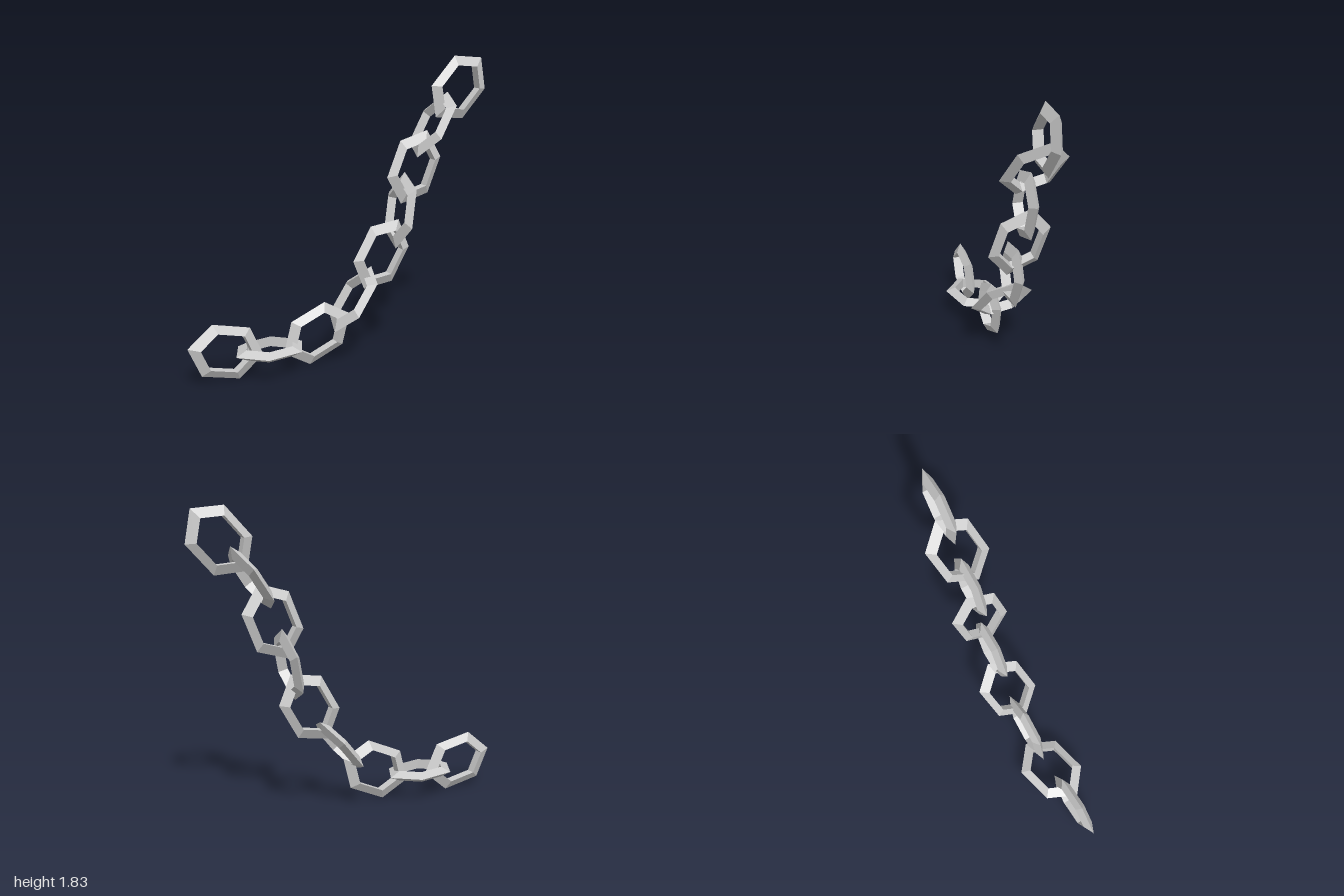
import * as THREE from 'three';

// Chain links: centre x, centre y, chain direction in degrees
const LINKS = [
  [-0.765, 0.185, 0],
  [-0.49, 0.155, -1],
  [-0.178, 0.204, 36],
  [0.067, 0.385, 48.5],
  [0.262, 0.645, 73],
  [0.393, 0.908, 75],
  [0.487, 1.17, 81],
  [0.615, 1.425, 53.5],
  [0.798, 1.643, 60.5],
];
const rad = THREE.MathUtils.degToRad;

export function createModel() {
  const chain = new THREE.Group();
  chain.name = 'chain';
  const material = new THREE.MeshStandardMaterial({ color: 0xcccccc, flatShading: true });

  // Six-sided ring with a triangular section, stretched and slightly turned in its plane
  const ring = new THREE.TorusGeometry(0.144, 0.036, 3, 6);
  ring.scale(1.33, 1, 1);
  ring.rotateZ(rad(-13));

  // Every second link is turned a quarter about the chain direction
  LINKS.forEach(([x, y, angle], i) => {
    const link = new THREE.Mesh(ring, material);
    link.name = `link${i + 1}`;
    link.position.set(x, y, 0);
    link.rotation.set(i % 2 ? Math.PI / 2 : 0, 0, rad(angle), 'ZXY');
    chain.add(link);
  });
  return chain;
}
